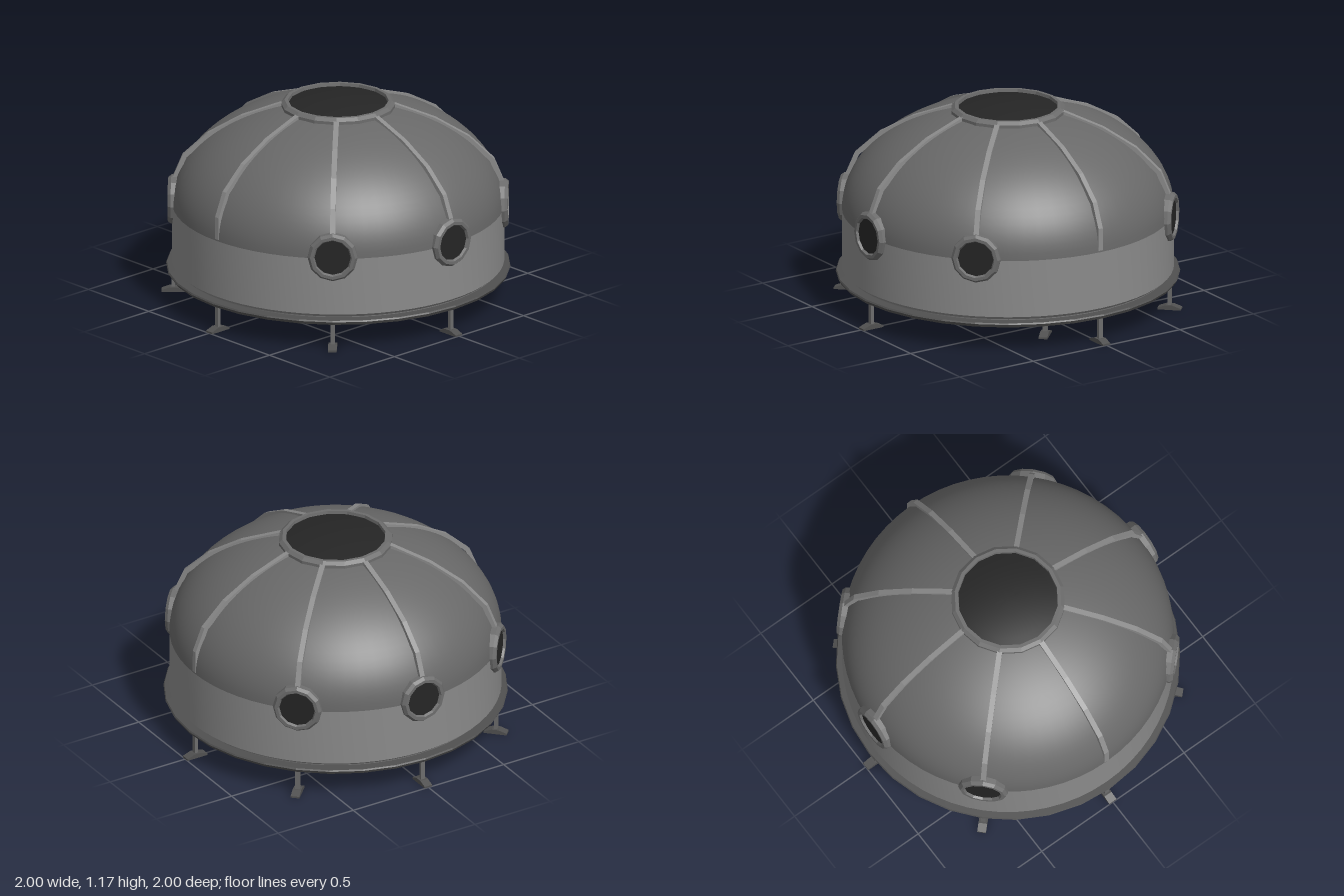
import * as THREE from 'three';
import { toCreasedNormals } from 'three/addons/utils/BufferGeometryUtils.js';

const mat = (name, color) => {
  const m = new THREE.MeshStandardMaterial({ color });
  m.name = name;
  return m;
};

export function createModel() {
  const wallGrey = mat('wall grey', 0x8a8a8a);
  const domeGrey = mat('dome grey', 0x686868);
  const ribGrey = mat('rib grey', 0x8c8c8c);
  const frameGrey = mat('frame grey', 0x6c6c6c);
  const rimGrey = mat('rim grey', 0x505050);
  const glassBlack = mat('glass black', 0x252525);

  const model = new THREE.Group();
  model.name = 'domeHabitat';

  const add = (parent, name, geometry, material) => {
    const mesh = new THREE.Mesh(geometry, material);
    mesh.name = name;
    parent.add(mesh);
    return mesh;
  };
  // Turned part from [radius, height] pairs, listed bottom outwards to top
  const lathe = (points, sides, crease = 0.5) => toCreasedNormals(
    new THREE.LatheGeometry(points.map(([r, y]) => new THREE.Vector2(r, y)), sides), crease);
  // Flat outline with thickness, centred on z = 0
  const plate = (points, depth) => new THREE.ExtrudeGeometry(
    new THREE.Shape(points.map(([x, y]) => new THREE.Vector2(x, y))),
    { depth, bevelEnabled: false }).translate(0, 0, -depth / 2);

  // Dome profile: a quarter ellipse on top of the wall
  const R = 0.94, SPRING = 0.54, RISE = 0.62;
  const domeY = (r) => SPRING + RISE * Math.sqrt(Math.max(0, 1 - (r / R) ** 2));
  const domePoints = [];
  for (let i = 0; i <= 24; i++) {
    const a = (i / 24) * Math.PI / 2;
    domePoints.push([i === 24 ? 0 : R * Math.cos(a), SPRING + RISE * Math.sin(a)]);
  }
  add(model, 'dome', lathe(domePoints, 64), domeGrey);
  add(model, 'wall', lathe([[0.91, 0.17], [0.915, 0.185], [R, 0.205], [R, SPRING]], 64), wallGrey);

  // Base plate and underside
  add(model, 'baseRim', lathe(
    [[0.86, 0.15], [0.965, 0.152], [0.975, 0.17], [0.97, 0.178], [0.9, 0.18]], 32, 0.1), rimGrey);
  add(model, 'floor', lathe([[0, 0.145], [0.87, 0.145], [0.87, 0.16]], 64), domeGrey);

  // Skylight: faceted frame around a shallow glass cap
  add(model, 'skylightFrame', lathe(
    [[0.28, 1.11], [0.325, 1.11], [0.325, 1.14], [0.305, 1.157], [0.285, 1.157], [0.28, 1.11]],
    16, 0.2), frameGrey);
  const capPoints = [];
  for (let i = 0; i <= 6; i++) {
    const r = 0.288 * (1 - i / 6);
    capPoints.push([r, domeY(r) + 0.007]);
  }
  add(model, 'skylightGlass', lathe(capPoints, 32), glassBlack);

  // Shared geometry for the eight bays
  const ribOuter = [[0.942, 0.55], [0.94, 0.68], [0.882, 0.82], [0.74, 0.953], [0.55, 1.06], [0.3, 1.15]];
  const ribInner = ribOuter.map(([r, y]) => [r * 0.972, SPRING + (y - SPRING) * 0.955]).reverse();
  const ribGeometry = plate([...ribOuter, ...ribInner], 0.03);
  const frameGeometry = lathe(
    [[0.1, 0.87], [0.142, 0.87], [0.142, 0.945], [0.128, 0.963], [0.11, 0.963], [0.1, 0.945], [0.1, 0.87]],
    12, 0.2).rotateZ(-Math.PI / 2);
  const glassGeometry = new THREE.CylinderGeometry(0.102, 0.102, 0.008, 12)
    .rotateZ(-Math.PI / 2).translate(0.946, 0, 0);
  const footGeometry = plate(
    [[-0.067, 0], [0.067, 0], [0.067, 0.01], [0.02, 0.027], [-0.02, 0.027], [-0.067, 0.01]], 0.05);
  const postGeometry = new THREE.BoxGeometry(0.02, 0.135, 0.026).translate(0, 0.0875, 0);

  for (let k = 0; k < 8; k++) {
    const angle = k * Math.PI / 4;
    const bay = new THREE.Group();
    bay.name = 'bay' + (k + 1);
    bay.rotation.y = angle;
    add(bay, 'rib', ribGeometry, ribGrey);

    // Portholes on every bay but the front and back
    if (k !== 2 && k !== 6) {
      const porthole = new THREE.Group();
      porthole.name = 'porthole';
      porthole.position.y = 0.55;
      add(porthole, 'portholeFrame', frameGeometry, frameGrey);
      add(porthole, 'portholeGlass', glassGeometry, glassBlack);
      bay.add(porthole);
    }
    model.add(bay);

    // Legs; one at the back stands further in under the floor
    const leg = new THREE.Group();
    leg.name = 'leg' + (k + 1);
    leg.rotation.y = angle;
    leg.position.set(0.933 * Math.cos(angle), 0, -0.933 * Math.sin(angle));
    if (k === 1) leg.position.x = 0.19;
    add(leg, 'foot', footGeometry, rimGrey);
    add(leg, 'post', postGeometry, frameGrey);
    model.add(leg);
  }
  return model;
}
